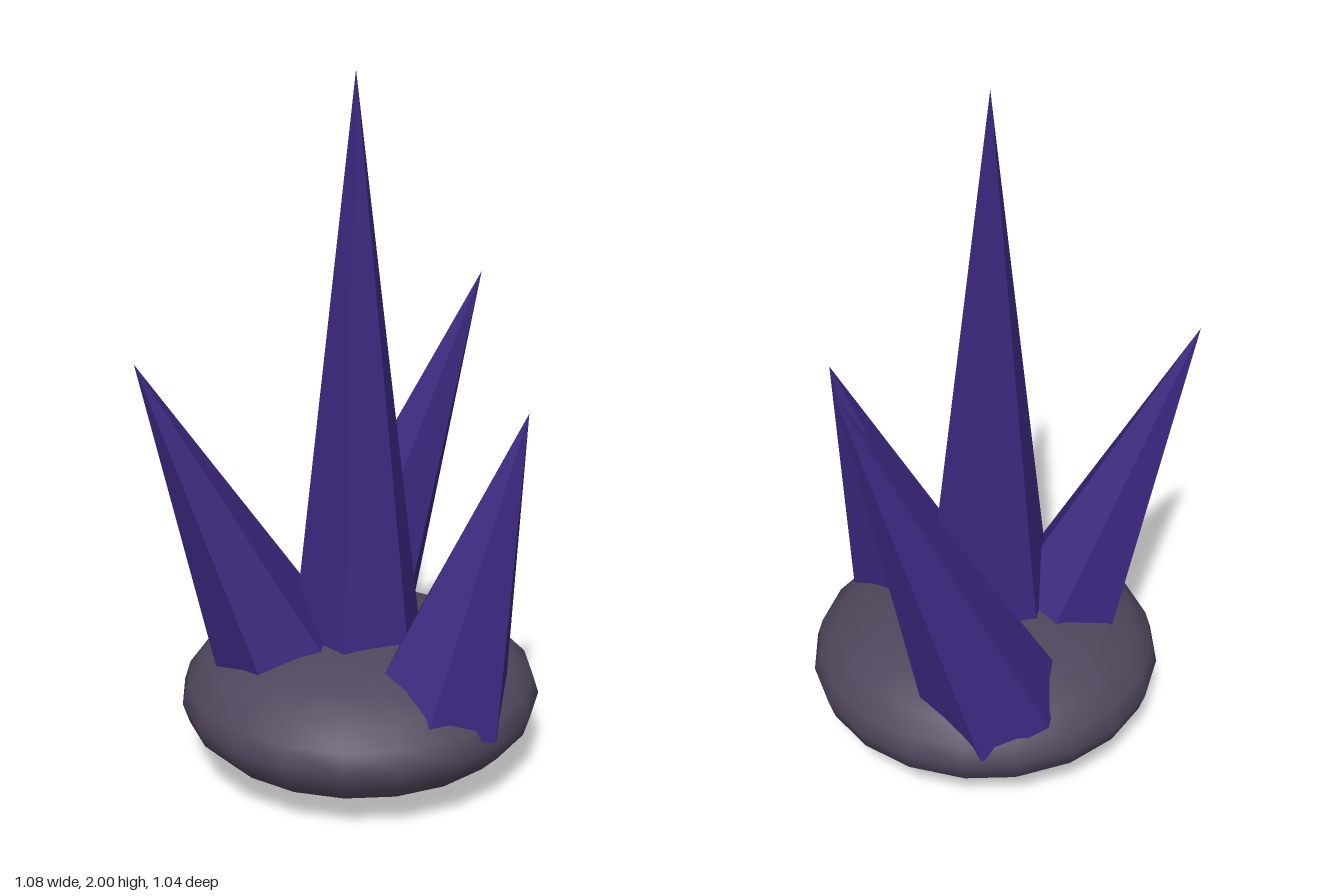
import * as THREE from 'three';

// Cone-shaped crystal: from base centre to tip, one ridge facing +z
function makeCrystal(name, base, tip, radius, material) {
  const from = new THREE.Vector3(...base);
  const axis = new THREE.Vector3(...tip).sub(from);
  const height = axis.length();
  const geometry = new THREE.ConeGeometry(radius, height, 6).toNonIndexed();
  geometry.translate(0, height / 2, 0);
  geometry.computeVertexNormals();
  const mesh = new THREE.Mesh(geometry, material);
  mesh.name = name;
  mesh.position.copy(from);
  mesh.quaternion.setFromUnitVectors(new THREE.Vector3(0, 1, 0), axis.normalize());
  return mesh;
}

export function createModel() {
  const model = new THREE.Group();
  model.name = 'crystalCluster';

  const rockMaterial = new THREE.MeshStandardMaterial({ color: 0x50465c });
  rockMaterial.name = 'grey purple rock';
  const crystalMaterial = new THREE.MeshStandardMaterial({ color: 0x3c267e, flatShading: true });
  crystalMaterial.name = 'deep violet crystal';

  // Flattened, smooth boulder
  const rockGeometry = new THREE.SphereGeometry(1, 20, 12);
  rockGeometry.scale(0.525, 0.22, 0.52);
  const rock = new THREE.Mesh(rockGeometry, rockMaterial);
  rock.name = 'rockBase';
  rock.position.set(-0.015, 0.22, -0.005);
  model.add(rock);

  // Tall upright crystal and three leaning ones
  const crystals = [
    ['centreCrystal', [-0.035, 0.265, 0], [-0.035, 2, 0]],
    ['frontCrystal', [-0.045, 0.265, 0.31], [0.16, 1.11, 0.445]],
    ['leftCrystal', [0.19, 0.27, -0.24], [0.54, 1.37, -0.01]],
    ['rightCrystal', [-0.18, 0.265, -0.12], [-0.54, 1.25, -0.34]],
  ];
  for (const [name, base, tip] of crystals) {
    model.add(makeCrystal(name, base, tip, 0.21, crystalMaterial));
  }
  return model;
}
